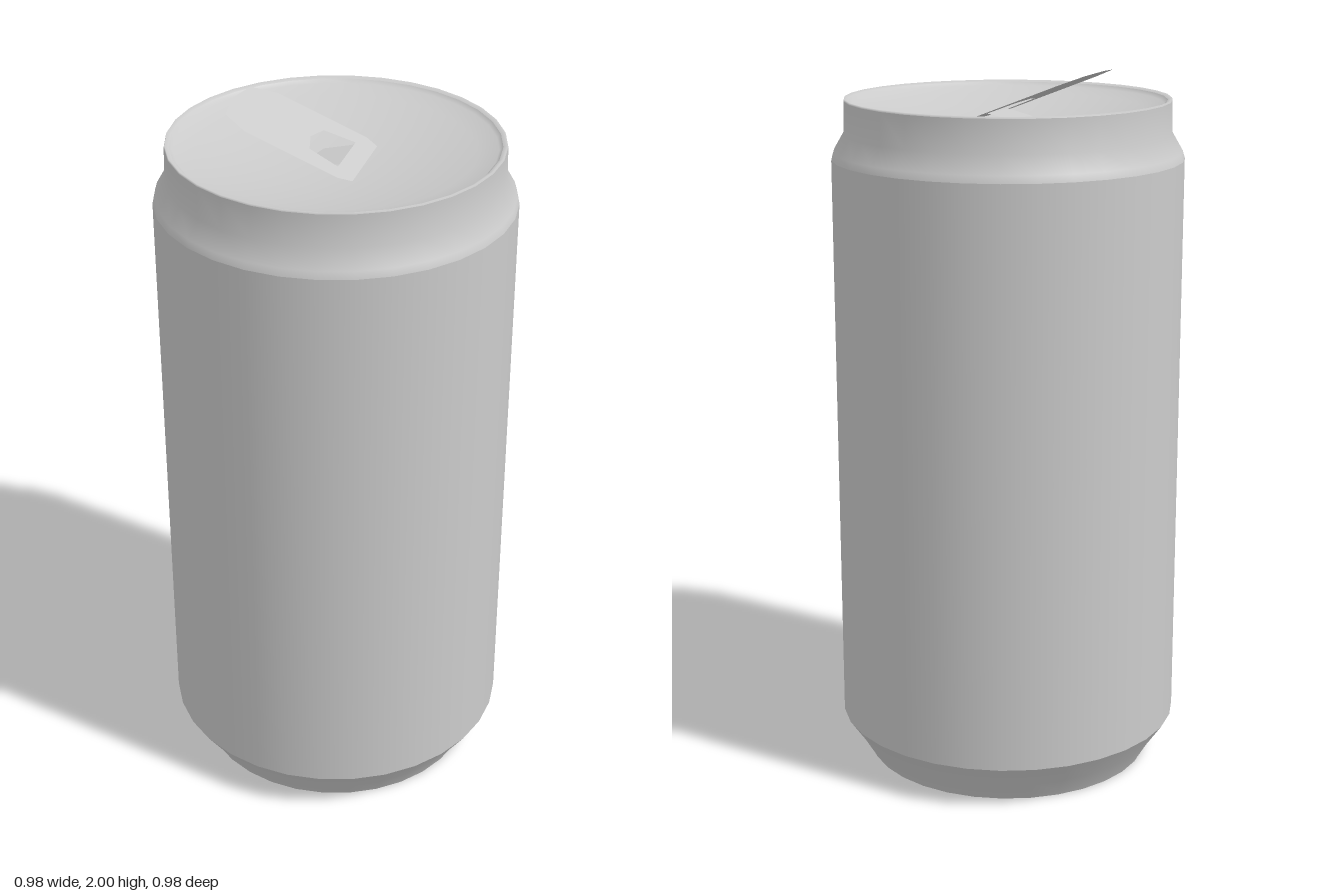
import * as THREE from 'three';

const material = new THREE.MeshStandardMaterial({ color: 0xcccccc });
const thin = new THREE.MeshStandardMaterial({ color: 0xcccccc, side: THREE.DoubleSide });

// Lathed section from [radius, y] pairs, running up the outside
function ring(name, profile) {
  const points = profile.map(([r, y]) => new THREE.Vector2(r, y));
  const mesh = new THREE.Mesh(new THREE.LatheGeometry(points, 32), material);
  mesh.name = name;
  return mesh;
}

// Shallow dish from the centre outwards
function dish(radius, centreY, edgeY, steps = 8) {
  return Array.from({ length: steps + 1 }, (_, i) => {
    const t = i / steps;
    return [radius * t, centreY + (edgeY - centreY) * t * t];
  });
}

// Symmetric outline from [x, half width] pairs
function outline(half) {
  const points = half.map(([x, z]) => new THREE.Vector2(x, z));
  const mirrored = half.filter(([, z]) => z > 0).reverse().map(([x, z]) => new THREE.Vector2(x, -z));
  return [...points, ...mirrored];
}

// Flat sheet laid horizontally, then raised by a height rule
function sheet(name, shape, height) {
  const geometry = new THREE.ShapeGeometry(shape).rotateX(-Math.PI / 2);
  const pos = geometry.attributes.position;
  for (let i = 0; i < pos.count; i++) pos.setY(i, height(pos.getX(i)));
  geometry.computeVertexNormals();
  const mesh = new THREE.Mesh(geometry, thin);
  mesh.name = name;
  return mesh;
}

export function createModel() {
  const can = new THREE.Group();
  can.name = 'drinkCan';

  // Can shell, from the hollow underside up to the sunken lid
  can.add(
    ring('underside', dish(0.4, 0.09, 0.005)),
    ring('footRim', [[0.4, 0.005], [0.41, 0]]),
    ring('base', [[0.41, 0], [0.418, 0.015], [0.445, 0.06], [0.49, 0.125]]),
    ring('body', [[0.49, 0.125], [0.49, 1.755]]),
    ring('neck', [[0.49, 1.755], [0.484, 1.775], [0.455, 1.825], [0.453, 1.915]]),
    ring('lidRim', [[0.453, 1.915], [0.451, 1.92], [0.44, 1.915]]),
    ring('lid', [[0.44, 1.915], ...dish(0.43, 1.845, 1.905).reverse()])
  );

  // Raised pull tab with a cut-out
  const tabHeight = (x) => 1.86 + (0.08 - x) * 0.39;
  const tabShape = new THREE.Shape(outline([
    [-0.285, 0], [-0.27, 0.1], [-0.205, 0.137], [0.045, 0.137], [0.08, 0.118],
  ]));
  tabShape.holes.push(new THREE.Path(outline([[-0.07, 0], [-0.053, 0.064], [0.03, 0.082]])));
  const tab = new THREE.Group();
  tab.name = 'pullTab';
  tab.add(sheet('tabPlate', tabShape, tabHeight));

  // Tongue left inside the cut-out, hinged level above the lid
  const tongueShape = new THREE.Shape(outline([[-0.07, 0], [-0.05, 0.055], [0.03, 0.067]]));
  tab.add(sheet('tabTongue', tongueShape, (x) => tabHeight(0.03) + (x - 0.03) * 0.2));
  can.add(tab);

  return can;
}
